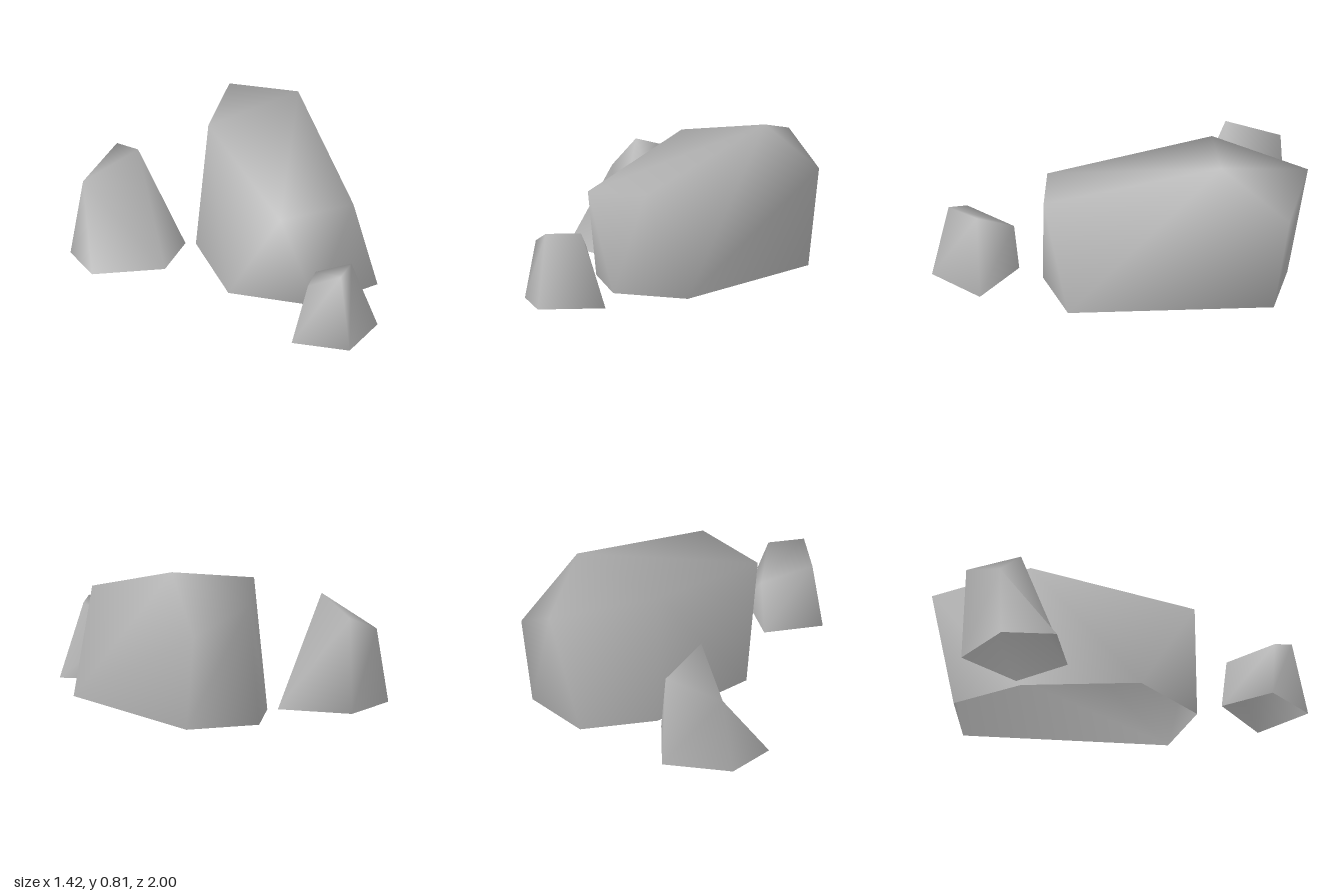
import * as THREE from 'three';

// the boulders are shells without an underside, so both sides show
const stone = new THREE.MeshStandardMaterial({ color: 0xb4b4b4, side: THREE.DoubleSide });
stone.name = 'stone grey';

// A boulder: ground outline [x, z] (clockwise from above), upper corners [x, y, z],
// and facets as corner indices, ground corners first.
function boulder(name, outline, upper, facets) {
  const corners = [...outline.map(([x, z]) => [x, 0, z]), ...upper];
  const geometry = new THREE.BufferGeometry();
  geometry.setAttribute('position', new THREE.Float32BufferAttribute(corners.flat(), 3));
  geometry.setIndex(facets.flat());
  geometry.computeVertexNormals();
  const mesh = new THREE.Mesh(geometry, stone);
  mesh.name = name;
  return mesh;
}

export function createModel() {
  const group = new THREE.Group();
  group.name = 'rocks';

  // long main boulder with a raised ridge
  group.add(boulder('largeRock',
    [[0.42, 0.43], [-0.01, 0.44], [-0.28, 0.02], [-0.03, -0.58], [0.31, -0.84], [0.68, -0.65]],
    [[-0.19, 0.53, 0.36], [0.2, 0.565, 0.5], [0.53, 0.81, -0.4],
      [0.71, 0.52, -0.73], [0.46, 0.69, -0.91], [0, 0.72, -0.51]],
    [
      [1, 0, 7], [1, 7, 6], [2, 1, 6], // front and left
      [3, 2, 11], [2, 6, 11], [4, 3, 10], [3, 11, 10], // back left
      [5, 4, 10], [5, 10, 9], // back
      [0, 5, 9], [0, 9, 8], [0, 8, 7], // right
      [6, 7, 8], [6, 8, 11], [11, 8, 10], [8, 9, 10], // top
    ]));

  // pointed boulder at the back
  group.add(boulder('pointedRock',
    [[-0.36, -0.43], [-0.71, -0.62], [-0.63, -0.91], [-0.25, -1], [-0.07, -0.62]],
    [[-0.56, 0.41, -0.89], [-0.34, 0.61, -0.69], [-0.26, 0.52, -0.975]],
    [
      [1, 0, 5], [0, 6, 5], [0, 4, 6], // front
      [4, 7, 6], [4, 3, 7], // right
      [3, 2, 5], [3, 5, 7], [2, 1, 5], // back and left
      [5, 6, 7], // top
    ]));

  // small boulder at the front
  group.add(boulder('smallRock',
    [[0.105, 0.83], [-0.22, 1], [-0.405, 0.73], [-0.15, 0.53]],
    [[-0.05, 0.395, 0.8], [-0.21, 0.4, 0.91], [-0.325, 0.33, 0.77], [-0.115, 0.28, 0.57]],
    [
      [1, 0, 4], [1, 4, 5], [2, 1, 5], [2, 5, 6], // front and left
      [3, 2, 6], [3, 6, 7], [0, 3, 7], [0, 7, 4], // back and right
      [5, 4, 7], [5, 7, 6], // top
    ]));

  return group;
}
